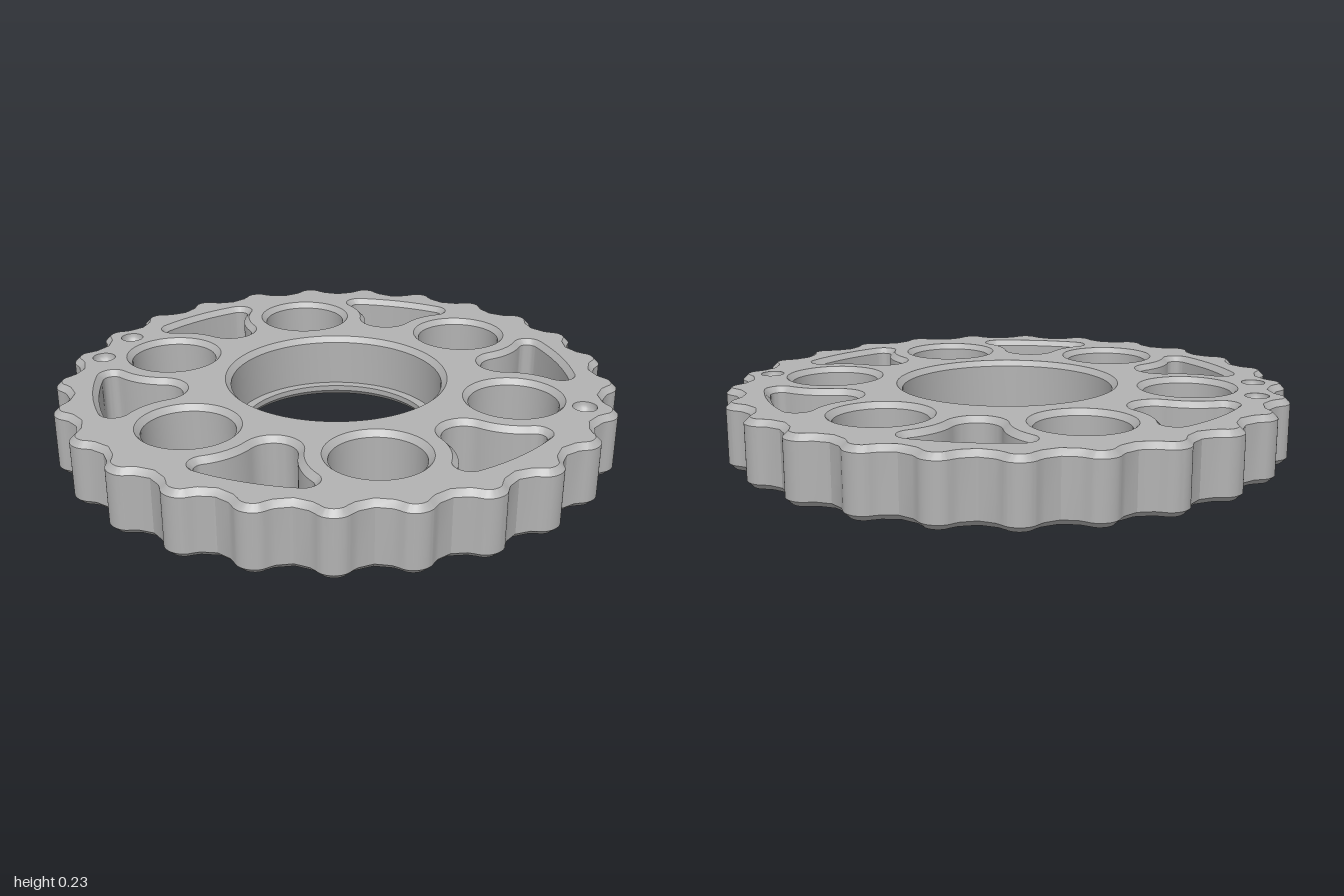
import * as THREE from 'three';
import { toCreasedNormals } from 'three/addons/utils/BufferGeometryUtils.js';

const H = 0.23;      // disc thickness
const CH = 0.02;     // edge chamfer
const V = (x, y) => new THREE.Vector2(x, y);
const polar = (r, a) => V(r * Math.cos(a), r * Math.sin(a));

// All contours run counter-clockwise in plan (plan y = -z).
const circle = (cx, cy, r, n = 64) =>
  Array.from({ length: n }, (_, i) => polar(r, (i / n) * Math.PI * 2).add(V(cx, cy)));

// Cycloidal rim with 25 lobes, one lobe peak on +x
function rimContour() {
  const R = 1.06, rr = 0.087, e = 0.0285, N = 26, n = 25 * 20, pts = [];
  for (let i = 0; i < n; i++) {
    const t = (i / n) * Math.PI * 2;
    const psi = Math.atan2(Math.sin((1 - N) * t), R / (e * N) - Math.cos((1 - N) * t));
    pts.push(V(
      R * Math.cos(t) - rr * Math.cos(t + psi) - e * Math.cos(N * t),
      R * Math.sin(t) - rr * Math.sin(t + psi) - e * Math.sin(N * t)
    ).rotateAround(V(0, 0), Math.PI / (N - 1)));
  }
  return pts;
}

// Rounded triangular window whose concave sides follow the neighbouring round holes
function windowContour(turn) {
  const outer = 0.845, corner = 0.035, side = 0.25;
  const hole = polar(0.647, Math.PI / 6), tip = V(0.635, 0);
  const rc = outer - corner, d = side + corner;
  const delta = Math.acos((0.647 ** 2 + rc ** 2 - d ** 2) / (2 * 0.647 * rc));
  const ca = Math.PI / 6 - delta, c = polar(rc, ca);
  const dir = (a, b) => Math.atan2(b.y - a.y, b.x - a.x);
  const half = [];
  const arc = (o, r, a0, a1, n) => {
    for (let i = 0; i < n; i++) half.push(polar(r, a0 + ((a1 - a0) * i) / n).add(o));
  };
  arc(V(0, 0), outer, 0, ca, 6);
  arc(c, corner, ca, dir(c, hole), 12);
  arc(hole, side, dir(hole, c), dir(hole, tip), 12);
  arc(tip, hole.distanceTo(tip) - side, dir(tip, hole), Math.PI, 12);
  const end = V(tip.x - (hole.distanceTo(tip) - side), 0);
  const mirrored = half.slice(1).reverse().map(p => V(p.x, -p.y));
  return [...half, end, ...mirrored].map(p => p.rotateAround(V(0, 0), turn));
}

// Move a contour outward (d > 0) or inward (d < 0)
function offset(pts, d) {
  const n = pts.length;
  return pts.map((p, i) => {
    const t = pts[(i + 1) % n].clone().sub(pts[(i + n - 1) % n]).normalize();
    return V(p.x + t.y * d, p.y - t.x * d);
  });
}

// Wall through a stack of [contour, height] rings, listed from low to high
function wall(rings, inward) {
  const pos = [];
  for (let k = 0; k + 1 < rings.length; k++) {
    const [lo, y0] = rings[k], [hi, y1] = rings[k + 1], n = lo.length;
    for (let i = 0; i < n; i++) {
      const j = (i + 1) % n;
      const a = [lo[i].x, y0, -lo[i].y], b = [lo[j].x, y0, -lo[j].y];
      const c = [hi[j].x, y1, -hi[j].y], e = [hi[i].x, y1, -hi[i].y];
      pos.push(...(inward ? [a, c, b, a, e, c] : [a, b, c, a, c, e]).flat());
    }
  }
  const g = new THREE.BufferGeometry();
  g.setAttribute('position', new THREE.Float32BufferAttribute(pos, 3));
  return toCreasedNormals(g, Math.PI / 6);
}

const chamfered = (pts, s) => [[offset(pts, s * CH), 0], [pts, CH], [pts, H - CH], [offset(pts, s * CH), H]];

export function createModel() {
  const group = new THREE.Group();
  const steel = new THREE.MeshStandardMaterial({ color: 0xb2b2b2 });
  steel.name = 'grey metal';
  const add = (name, geometry) => {
    const mesh = new THREE.Mesh(geometry, steel);
    mesh.name = name;
    mesh.position.x = -0.004;
    group.add(mesh);
  };

  // Lobed rim
  const rim = chamfered(rimContour(), -1);
  add('lobedRim', wall(rim, false));
  const topHoles = [], bottomHoles = [];
  const cut = (name, rings) => {
    add(name, wall(rings, true));
    bottomHoles.push(rings[0][0]);
    topHoles.push(rings[rings.length - 1][0]);
  };

  // Stepped centre bore with a bearing ledge
  cut('centreBore', [[0.365, 0], [0.345, CH], [0.345, 0.04], [0.38, 0.04], [0.38, H - CH], [0.4, H]]
    .map(([r, y]) => [circle(0, 0, r, 96), y]));

  // Alternating round holes and triangular windows
  for (let i = 0; i < 6; i++) {
    const a = (i * Math.PI) / 3, p = polar(0.647, a);
    cut('roundHole', chamfered(circle(p.x, p.y, 0.157), 1));
    cut('triangularWindow', chamfered(windowContour(a + Math.PI / 6), 1));
  }

  // Small round marking dimples on both faces
  const r = 0.042;
  for (const deg of [0, 172.8, 187.2]) {
    const p = polar(0.89, THREE.MathUtils.degToRad(deg));
    const bowl = [0, 1, 2, 3, 4, 5, 6].map(k => {
      const a = (k / 6) * (Math.PI / 2);
      return [circle(p.x, p.y, Math.max(r * Math.cos(a), 0.0005), 24), r * Math.sin(a)];
    });
    const topBowl = bowl.map(([c, y]) => [c, H - y]).reverse();
    add('bottomDimple', wall(bowl, true));
    add('topDimple', wall(topBowl, true));
    bottomHoles.push(bowl[0][0]);
    topHoles.push(bowl[0][0]);
  }

  // Flat faces
  const face = (outline, holes) => {
    const shape = new THREE.Shape(outline);
    shape.holes = holes.map(h => new THREE.Path(h));
    return new THREE.ShapeGeometry(shape);
  };
  add('topFace', face(rim[3][0], topHoles).rotateX(-Math.PI / 2).translate(0, H, 0));
  const flip = pts => pts.map(p => V(p.x, -p.y)).reverse();
  add('bottomFace', face(flip(rim[0][0]), bottomHoles.map(flip)).rotateX(Math.PI / 2));
  return group;
}
